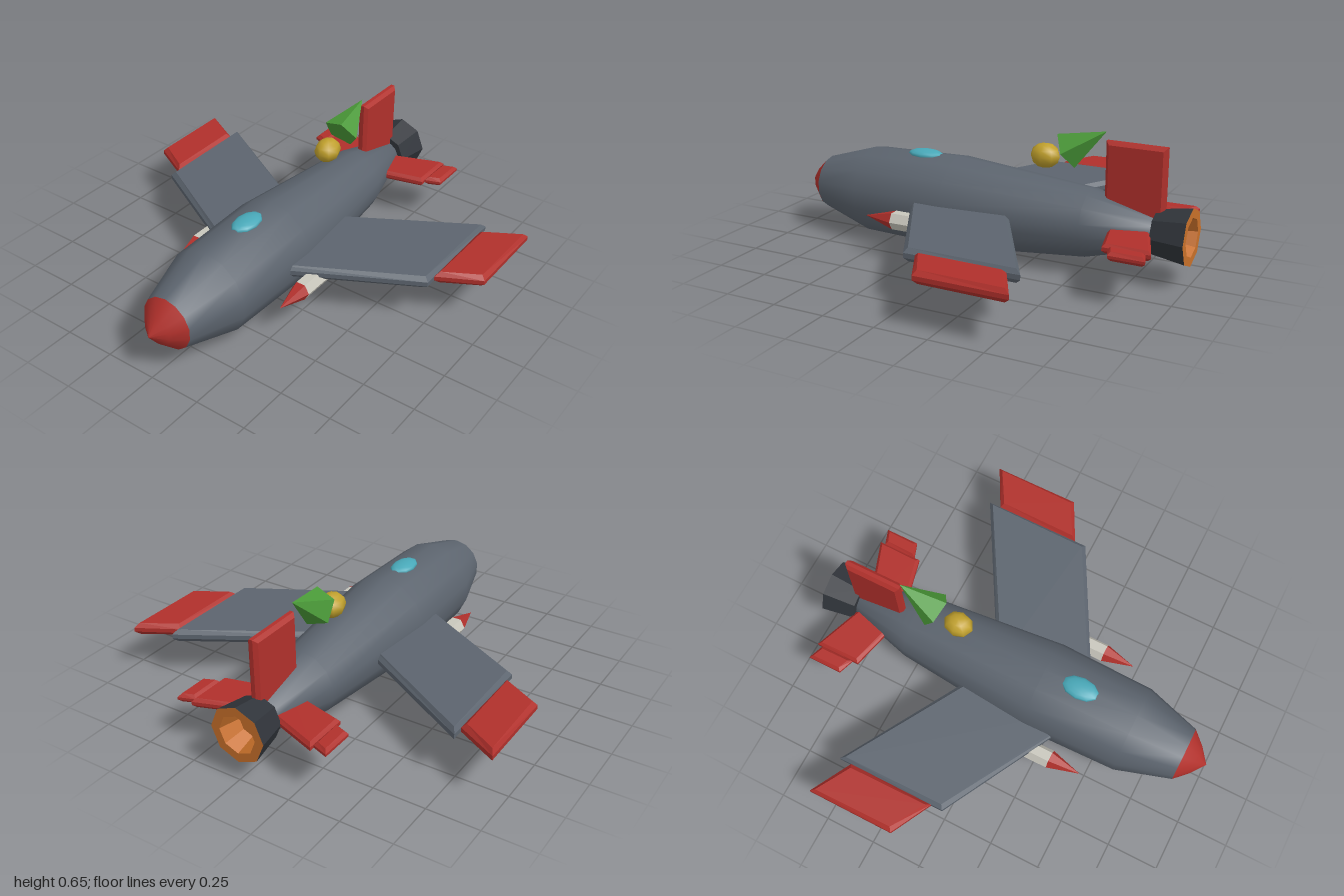
import * as THREE from 'three';

const CY = 0.232; // height of the fuselage axis

const mat = (color, flatShading = true) => new THREE.MeshStandardMaterial({ color, flatShading });

export function createModel() {
  const model = new THREE.Group();
  const grey = mat(0x5c646e);
  const greySmooth = mat(0x5c646e, false);
  const red = mat(0xb0302b);
  const redSmooth = mat(0xb0302b, false);
  const dark = mat(0x30343a);
  const orange = mat(0xc8702a);
  const pale = mat(0xc8c6bc);

  function add(name, geometry, material, x = 0, y = 0, z = 0) {
    const mesh = new THREE.Mesh(geometry, material);
    mesh.name = name;
    mesh.position.set(x, y, z);
    model.add(mesh);
    return mesh;
  }

  // Body of revolution along z, from [radius, z] pairs running back to front
  function turned(points, sides) {
    const profile = points.map(([r, z]) => new THREE.Vector2(r, z));
    return new THREE.LatheGeometry(profile, sides).rotateX(Math.PI / 2);
  }

  // Plate with chamfered edges, centred on its own thickness
  function plate(points, thickness, bevel) {
    const shape = new THREE.Shape(points.map(([a, b]) => new THREE.Vector2(a, b)));
    const depth = thickness - 2 * bevel;
    return new THREE.ExtrudeGeometry(shape, {
      depth, bevelEnabled: true, bevelThickness: bevel,
      bevelSize: bevel, bevelOffset: -bevel, bevelSegments: 1,
    }).translate(0, 0, -depth / 2);
  }

  // Fuselage and nose
  add('fuselage', turned([[0, -0.85], [0.075, -0.85], [0.16, -0.53], [0.223, 0.15],
    [0.211, 0.62], [0.13, 0.885]], 14), greySmooth, 0, CY - 0.003);
  add('noseCone', turned([[0.13, 0.885], [0.07, 0.947], [0, 1]], 14), redSmooth, 0, CY - 0.003);

  // Exhaust nozzle with a recessed bore
  add('nozzle', turned([[0.135, -1], [0.108, -0.84], [0, -0.84]], 8), dark, 0, CY);
  add('nozzleBore', turned([[0, -0.9], [0.065, -0.9], [0.092, -1], [0.135, -1]], 8), orange, 0, CY);

  // Mirrored flying surfaces, outlines as [x, z]
  const surfaces = [
    ['Wing', [[0, 0.41], [0.755, 0.005], [0.755, -0.535], [0, -0.1]], 0.062, 0.02, grey],
    ['WingTip', [[0.755, -0.052], [0.952, -0.155], [0.952, -0.582], [0.755, -0.475]], 0.06, 0.02, red],
    ['Tailplane', [[0, -0.625], [0.308, -0.7], [0.308, -0.92], [0, -0.81]], 0.046, 0.015, red],
    ['TailplaneTip', [[0.308, -0.728], [0.385, -0.755], [0.385, -0.922], [0.308, -0.895]], 0.042, 0.015, red],
  ];
  for (const [side, s] of [['left', 1], ['right', -1]]) {
    for (const [name, outline, thickness, bevel, material] of surfaces) {
      const geometry = plate(outline.map(([x, z]) => [s * x, z]), thickness, bevel);
      add(side + name, geometry.rotateX(Math.PI / 2), material, 0, CY);
    }
    // Missile under each wing
    const body = new THREE.CylinderGeometry(0.045, 0.045, 0.375, 6);
    const tip = new THREE.ConeGeometry(0.045, 0.155, 6);
    for (const g of [body, tip]) g.rotateY(Math.PI / 6).rotateX(Math.PI / 2).rotateZ(0);
    add(side + 'MissileBody', body.rotateZ(Math.PI / 6).rotateZ(-Math.PI / 6), pale, s * 0.3, 0.195, 0.147);
    add(side + 'MissileTip', tip, red, s * 0.3, 0.195, 0.412);
  }

  // Upright fin, outline as [z, y]
  const fin = plate([[-0.877, 0.26], [-0.595, 0.26], [-0.595, 0.622], [-0.877, 0.622]], 0.05, 0.016);
  add('fin', fin.rotateY(-Math.PI / 2), red);

  // Canopy
  const canopy = new THREE.SphereGeometry(1, 10, 8).scale(0.055, 0.025, 0.092);
  add('canopy', canopy, mat(0x48a8b8, false), 0, 0.44, 0.332);

  // Ball and five-sided leaf cone behind the canopy
  const ball = new THREE.SphereGeometry(1, 8, 6).scale(0.06, 0.058, 0.072);
  add('ball', ball, mat(0xc0a02c, false), 0, 0.515, -0.297);
  const leaf = new THREE.ConeGeometry(0.09, 0.21, 5).rotateY(Math.PI / 2).rotateX(-Math.PI / 3);
  add('leafCone', leaf, mat(0x4a9a38), 0, 0.608, -0.5);

  return model;
}
